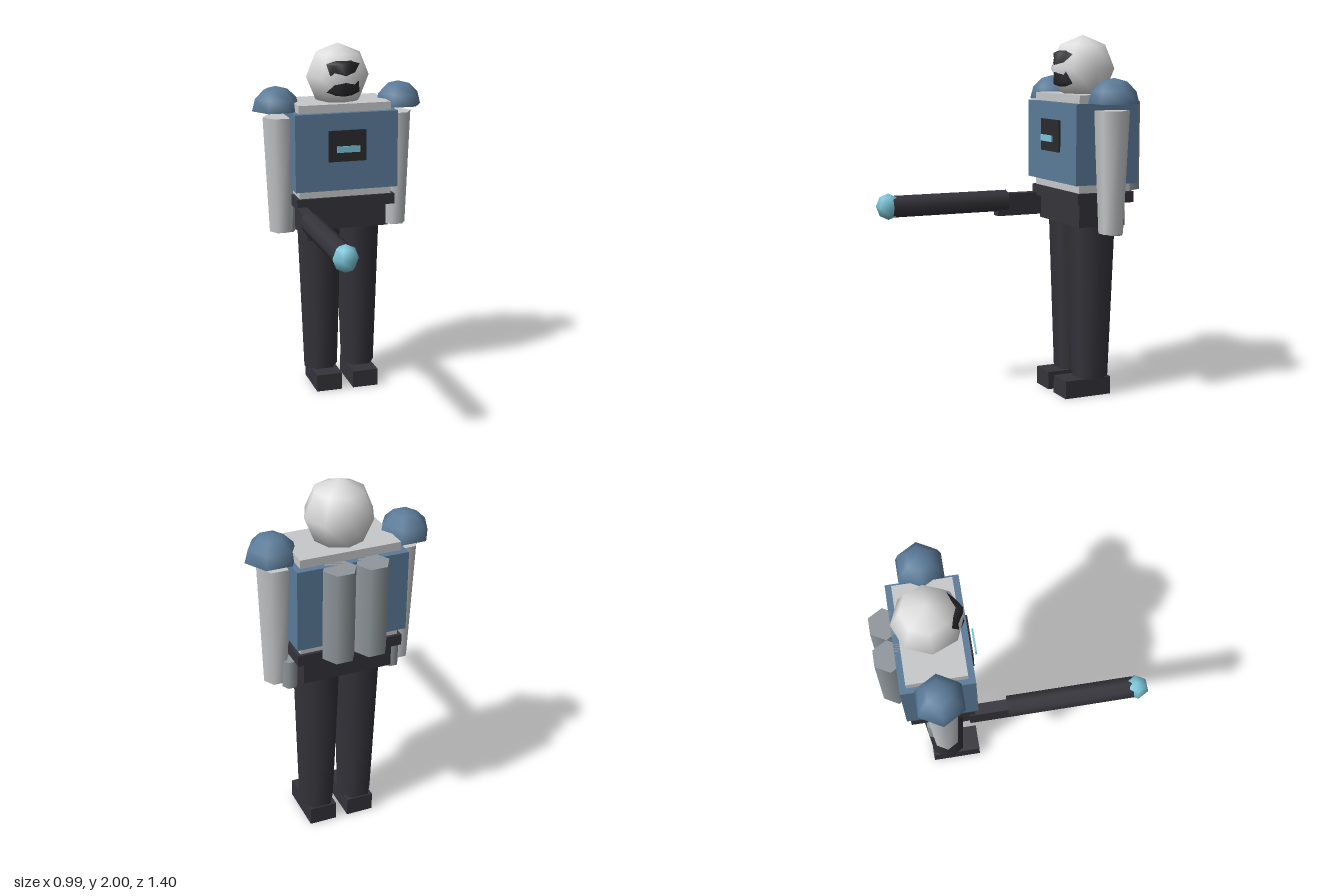
import * as THREE from 'three';

const mat = (name, color, extra = {}) => {
  const m = new THREE.MeshStandardMaterial({ color, ...extra });
  m.name = name;
  return m;
};

export function createModel() {
  const model = new THREE.Group();
  model.name = 'armouredTrooper';
  const CZ = -0.41; // depth of the body's centre line

  const white = mat('helmetWhite', 0xdedede);
  const pale = mat('suitPale', 0xc6c8ca);
  const blue = mat('armourBlue', 0x5b7b99);
  const dark = mat('darkCloth', 0x35343b);
  const black = mat('visorBlack', 0x2b2b2f, { side: THREE.DoubleSide });
  const grey = mat('tankGrey', 0x90979c);
  const cyan = mat('glowCyan', 0x7cc6da);

  const add = (name, geo, material, x, y, z) => {
    const m = new THREE.Mesh(geo, material);
    m.name = name;
    m.position.set(x, y, z);
    model.add(m);
    return m;
  };
  // box from its height range and depth centre
  const box = (name, material, x, w, y0, y1, z, d) =>
    add(name, new THREE.BoxGeometry(w, y1 - y0, d), material, x, (y0 + y1) / 2, z);
  // upright six-sided column with corners towards +-x
  const hex = (name, material, x, y0, y1, z, rTop, rBottom = rTop) =>
    add(name, new THREE.CylinderGeometry(rTop, rBottom, y1 - y0, 6).rotateY(Math.PI / 6),
      material, x, (y0 + y1) / 2, z);

  // torso
  box('innerTorso', pale, 0, 0.534, 1.14, 1.68, CZ, 0.31);
  box('chestArmour', blue, 0, 0.592, 1.2, 1.635, CZ, 0.378);
  box('belt', dark, 0, 0.57, 1.095, 1.155, CZ, 0.34);
  box('pelvis', dark, 0, 0.486, 0.965, 1.1, CZ, 0.28);
  box('chestPanel', black, 0, 0.216, 1.365, 1.54, -0.217, 0.016);
  box('chestLight', cyan, 0, 0.132, 1.42, 1.455, -0.191, 0.009);

  // head
  add('head', new THREE.SphereGeometry(0.183, 8, 4), white, 0, 1.817, CZ);

  // visor: flat middle with a rim falling back into the helmet
  const rim = [[0.105, 0.08], [0.05, 0.098], [0, 0.1], [-0.05, 0.098], [-0.105, 0.08], [-0.085, 0],
    [-0.105, -0.08], [-0.05, -0.098], [0, -0.1], [0.05, -0.098], [0.105, -0.08], [0.085, 0]];
  const pos = [0, 0, 0.175];
  for (const [x, y] of rim) {
    pos.push(x * 0.62, y * 0.85, 0.178 - 0.35 * Math.abs(x));
    pos.push(x, y, 0.18 - 0.42 * (Math.abs(x) + Math.abs(y)));
  }
  const idx = [];
  rim.forEach((_, i) => {
    const a = 1 + 2 * i, b = 1 + 2 * ((i + 1) % rim.length);
    idx.push(0, a, b, a, a + 1, b + 1, a, b + 1, b);
  });
  const visor = new THREE.BufferGeometry();
  visor.setAttribute('position', new THREE.Float32BufferAttribute(pos, 3));
  visor.setIndex(idx);
  visor.computeVertexNormals();
  add('visor', visor, black, 0, 1.817, CZ);

  // mirrored parts
  for (const [side, s] of [['left', 1], ['right', -1]]) {
    add(side + 'ShoulderPad',
      new THREE.SphereGeometry(0.136, 6, 3, 0, Math.PI * 2, 0, Math.PI / 2), blue, s * 0.358, 1.637, CZ);
    add(side + 'ShoulderBase', new THREE.CircleGeometry(0.136, 6).rotateX(Math.PI / 2),
      blue, s * 0.358, 1.637, CZ);
    hex(side + 'Arm', pale, s * 0.34, 0.94, 1.6, CZ, 0.095, 0.066);
    hex(side + 'Hand', grey, s * 0.285, 0.92, 1.075, -0.465, 0.042);
    hex(side + 'Leg', dark, s * 0.113, 0.095, 0.98, CZ, 0.132, 0.1);
    box(side + 'Boot', dark, s * 0.109, 0.15, 0, 0.1, -0.365, 0.28);
    hex(side + 'BackTank', grey, s * 0.0875, 1.145, 1.635, -0.628, 0.0875);
  }

  // hip-held weapon on the right side
  box('weaponStock', dark, -0.26, 0.062, 0.985, 1.11, -0.135, 0.27);
  add('weaponBarrel', new THREE.CylinderGeometry(0.06, 0.06, 0.685, 8).rotateX(Math.PI / 2),
    dark, -0.257, 1.07, 0.2825);
  add('weaponTip', new THREE.SphereGeometry(0.068, 6, 4).scale(1, 1.08, 1), cyan, -0.261, 1.071, 0.641);

  return model;
}
